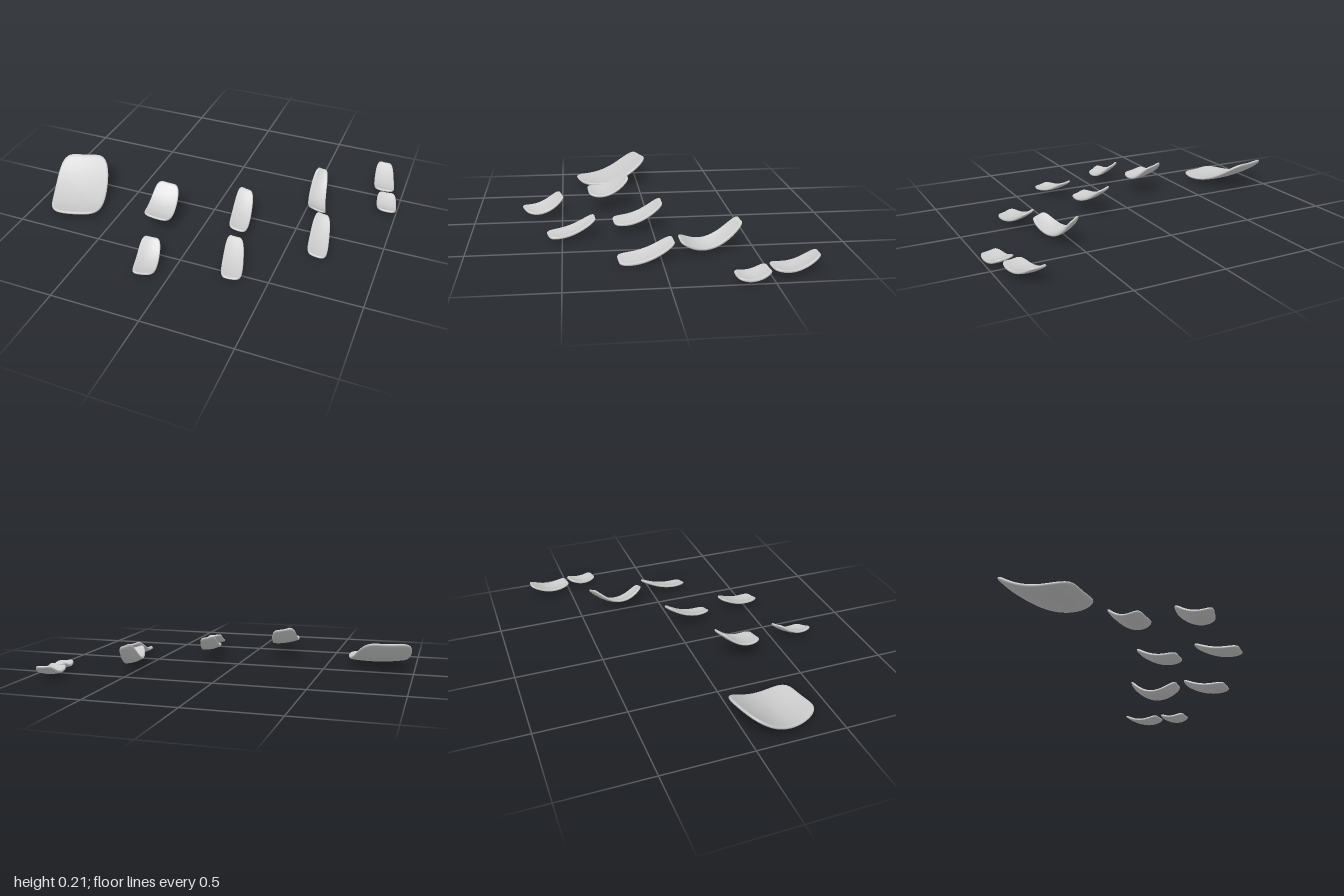
import * as THREE from 'three';

// Corners as [x, z] in the order back-left, back-right, front-right, front-left.
// Heights run back, middle, front; roll lifts the -x edge above the +x edge.
const PLATES = [
  { name: 'largePlate', c: [[-1.0, 0.01], [-0.73, -0.07], [-0.59, 0.35], [-0.86, 0.42]], y: [0.175, 0.045, 0.045], roll: -0.005, cup: 0.012, bulge: 0.02, t: 0.018 },
  { name: 'secondRowBackPlate', c: [[-0.305, 0.12], [-0.175, 0.095], [-0.145, 0.335], [-0.295, 0.35]], y: [0.205, 0.115, 0.12], roll: 0.025 },
  { name: 'secondRowFrontPlate', c: [[-0.21, 0.52], [-0.115, 0.485], [-0.07, 0.69], [-0.17, 0.745]], y: [0.12, 0.043, 0.043], roll: 0.025 },
  { name: 'thirdRowBackPlate', c: [[0.13, -0.05], [0.22, -0.06], [0.27, 0.21], [0.17, 0.225]], y: [0.165, 0.08, 0.07], roll: 0.025 },
  { name: 'thirdRowFrontPlate', c: [[0.205, 0.325], [0.295, 0.315], [0.37, 0.56], [0.265, 0.59]], y: [0.11, 0.045, 0.035], roll: 0.012 },
  { name: 'fourthRowBackPlate', c: [[0.49, -0.41], [0.565, -0.44], [0.645, -0.105], [0.55, -0.09]], y: [0.165, 0.045, 0.095], roll: 0.03, bow: -0.015 },
  { name: 'fourthRowFrontPlate', c: [[0.59, -0.055], [0.675, -0.07], [0.73, 0.215], [0.625, 0.23]], y: [0.105, 0.032, 0.023], roll: 0.025 },
  { name: 'fifthRowBackPlate', c: [[0.80, -0.745], [0.895, -0.75], [0.955, -0.51], [0.84, -0.495]], y: [0.095, 0.035, 0.05], roll: 0.005 },
  { name: 'fifthRowFrontPlate', c: [[0.865, -0.475], [0.965, -0.495], [1.0, -0.325], [0.9, -0.31]], y: [0.052, 0.018, 0.035], roll: 0.01 },
];

// Point on a plate's middle surface: u from -1 (left) to 1 (right), v from -1 (back) to 1 (front)
function surfacePoint({ c, y, roll, cup = 0.008, bulge = 0.006, bow = 0 }, u, v) {
  const a = (u + 1) / 2, b = (v + 1) / 2;
  const mix = (i) => THREE.MathUtils.lerp(
    THREE.MathUtils.lerp(c[0][i], c[1][i], a),
    THREE.MathUtils.lerp(c[3][i], c[2][i], a), b);
  const height = y[1] + v * (y[2] - y[0]) / 2 + v * v * ((y[0] + y[2]) / 2 - y[1]);
  return new THREE.Vector3(
    mix(0) + (bulge * u + bow) * (1 - v * v),
    height - roll * u / 2 + cup * (u * u - 0.5),
    mix(1));
}

function surfaceNormal(plate, u, v) {
  const e = 0.01;
  const du = surfacePoint(plate, u + e, v).sub(surfacePoint(plate, u - e, v));
  const dv = surfacePoint(plate, u, v + e).sub(surfacePoint(plate, u, v - e));
  return dv.cross(du).normalize();
}

// Closed shell of rounded-rectangle rings: over the top, round the rim and back underneath
function plateGeometry(plate) {
  const t = (plate.t ?? 0.014) / 2, sides = 64, power = 5;
  const top = [[0.001, 1], [0.2, 1], [0.4, 1], [0.6, 1], [0.8, 1], [0.92, 1], [0.97, 0.85], [0.992, 0.45]];
  const rings = [...top, [1, 0], ...top.map(([s, h]) => [s, -h]).reverse()];
  const pos = [], index = [];
  for (const [s, h] of rings) {
    for (let j = 0; j < sides; j++) {
      const ang = (j / sides) * Math.PI * 2, x = Math.cos(ang), z = Math.sin(ang);
      const r = s / Math.pow(Math.abs(x) ** power + Math.abs(z) ** power, 1 / power);
      const p = surfacePoint(plate, x * r, z * r).addScaledVector(surfaceNormal(plate, x * r, z * r), h * t);
      pos.push(p.x, p.y, p.z);
    }
  }
  for (let i = 0; i < rings.length - 1; i++) {
    for (let j = 0; j < sides; j++) {
      const k = (j + 1) % sides;
      const a = i * sides + j, b = i * sides + k, c = a + sides, d = b + sides;
      index.push(a, b, c, b, d, c);
    }
  }
  const g = new THREE.BufferGeometry();
  g.setAttribute('position', new THREE.Float32BufferAttribute(pos, 3));
  g.setIndex(index);
  g.computeVertexNormals();
  return g;
}

export function createModel() {
  const group = new THREE.Group();
  group.name = 'curvedPlates';
  const material = new THREE.MeshStandardMaterial({ color: 0xcccccc });
  for (const plate of PLATES) {
    const mesh = new THREE.Mesh(plateGeometry(plate), material);
    mesh.name = plate.name;
    group.add(mesh);
  }
  return group;
}
